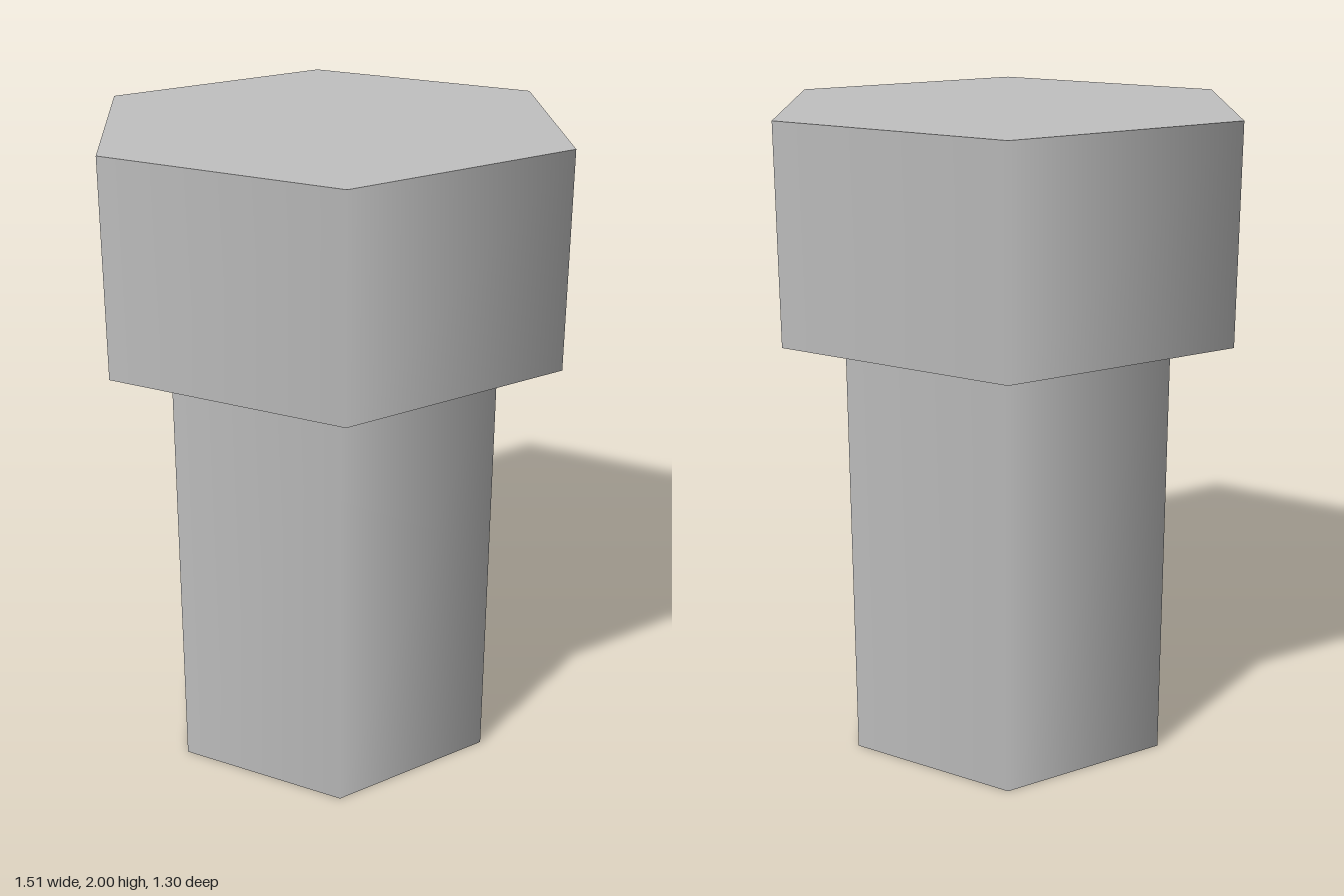
import * as THREE from 'three';

// Upright six-sided prism with smooth side normals and corners on the x axis
function hexPrism(name, radius, bottom, top, material) {
  const height = top - bottom;
  const geometry = new THREE.CylinderGeometry(radius, radius, height, 6, 1, false, Math.PI / 2);
  geometry.translate(0, bottom + height / 2, 0);
  const mesh = new THREE.Mesh(geometry, material);
  mesh.name = name;
  return mesh;
}

export function createModel() {
  const steel = new THREE.MeshStandardMaterial({ color: 0xc0c0c0 });
  steel.name = 'steel grey';

  const bolt = new THREE.Group();
  bolt.name = 'bolt';
  bolt.add(
    hexPrism('shaft', 0.553, 0, 1.35, steel),
    hexPrism('head', 0.753, 1.35, 2, steel),
  );
  return bolt;
}
